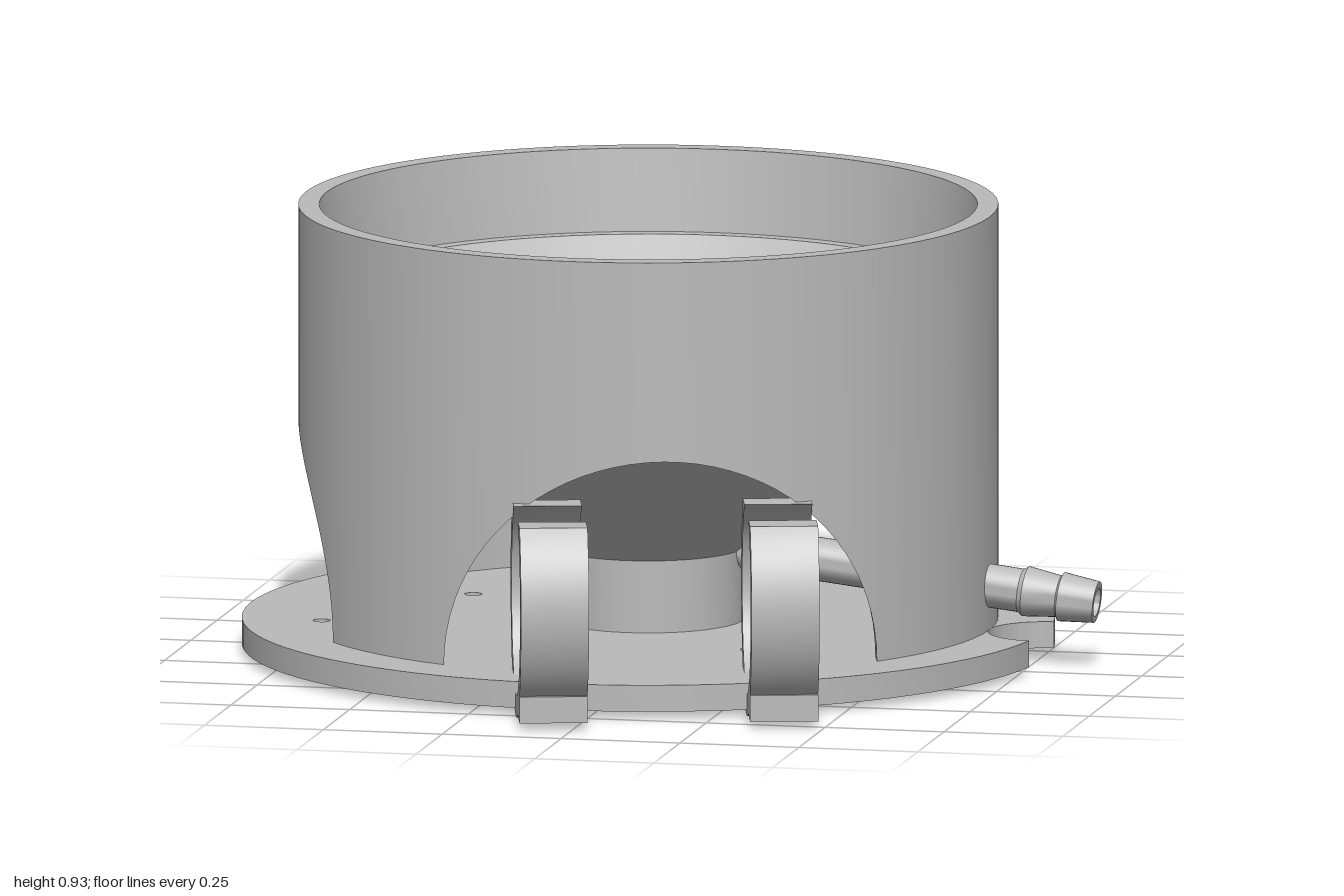
import * as THREE from 'three';
import { mergeGeometries, toCreasedNormals } from 'three/addons/utils/BufferGeometryUtils.js';

const grey = new THREE.MeshStandardMaterial({ color: 0xbababa });
grey.name = 'light grey';

const PLATE_BOTTOM = 0.015, PLATE_TOP = 0.07, TOP = 0.93;
const R_OUT = 0.719, R_IN = 0.66, R_ARCH = 0.445;
const rad = THREE.MathUtils.degToRad;

function part(name, geometry, parent) {
  const mesh = new THREE.Mesh(geometry, grey);
  mesh.name = name;
  parent.add(mesh);
  return mesh;
}

function lathe(points, segments) {
  const profile = points.map(([x, y]) => new THREE.Vector2(x, y));
  return toCreasedNormals(new THREE.LatheGeometry(profile, segments), 0.4);
}

// Smooth strip of quads between two equally long rows of points
function strip(rowA, rowB) {
  const positions = [], index = [], n = rowA.length;
  for (const p of [...rowA, ...rowB]) positions.push(...p);
  for (let i = 0; i < n - 1; i++) index.push(i, i + 1, n + i, i + 1, n + i + 1, n + i);
  const g = new THREE.BufferGeometry();
  g.setAttribute('position', new THREE.Float32BufferAttribute(positions, 3));
  g.setIndex(index);
  g.computeVertexNormals();
  return g;
}

// Cylinder wall with three round arches cut straight through it
function wallGeometry() {
  const arches = [rad(15), rad(165), rad(270)];
  const columns = [];
  const STEPS = 40, PILLAR = 16;
  const halfOut = Math.asin(R_ARCH / R_OUT), halfIn = Math.asin(R_ARCH / R_IN);
  arches.forEach((mid, k) => {
    for (let i = 0; i <= STEPS; i++) {
      const u = Math.PI * (1 - i / STEPS), side = R_ARCH * Math.cos(u);
      columns.push({
        out: mid + Math.asin(side / R_OUT),
        in: mid + Math.asin(side / R_IN),
        y: PLATE_TOP + R_ARCH * Math.sin(u)
      });
    }
    const next = k < 2 ? arches[k + 1] : arches[0] + 2 * Math.PI;
    for (let i = 1; i <= PILLAR; i++) {
      const t = i / PILLAR;
      columns.push({
        out: THREE.MathUtils.lerp(mid + halfOut, next - halfOut, t),
        in: THREE.MathUtils.lerp(mid + halfIn, next - halfIn, t),
        y: PLATE_TOP
      });
    }
  });
  const at = (a, r, y) => [r * Math.sin(a), y, r * Math.cos(a)];
  const outLow = columns.map(c => at(c.out, R_OUT, c.y));
  const outTop = columns.map(c => at(c.out, R_OUT, TOP));
  const rim = columns.map(c => at(c.out, 0.676, TOP));
  const inLow = columns.map(c => at(c.in, R_IN, c.y));
  const inTop = columns.map(c => at(c.in, R_IN, 0.66));
  return mergeGeometries([
    strip(outLow, outTop), strip(outTop, rim), strip(inTop, inLow), strip(inLow, outLow)
  ]);
}

// Round base plate with a notch for the outlet and small screw holes
function plateGeometry() {
  const R = 0.835, notch = 0.118;
  const a = 2 * Math.asin(notch / 2 / R), b = Math.PI / 2 + a / 2;
  const shape = new THREE.Shape();
  shape.absarc(0, 0, R, a, 2 * Math.PI - a, false);
  shape.absarc(R, 0, notch, -b, b, true);
  const holes = [[0.288, 0.344], [-0.07, 0.44], [-0.41, 0.19], [-0.41, -0.19], [-0.645, 0.19], [-0.645, -0.19]];
  for (const [x, z] of holes) {
    const hole = new THREE.Path();
    hole.absarc(x, -z, 0.018, 0, 2 * Math.PI, true);
    shape.holes.push(hole);
  }
  const g = new THREE.ExtrudeGeometry(shape, { depth: PLATE_TOP - PLATE_BOTTOM, bevelEnabled: false, curveSegments: 48 });
  g.rotateX(-Math.PI / 2).translate(0, PLATE_BOTTOM, 0);
  return toCreasedNormals(g, 0.5);
}

// Open ring clip: profile in the radial plane, extruded along the tangent
function clipGeometry({ r, y, outer, inner, outerArc, innerArc }, width) {
  const shape = new THREE.Shape();
  shape.absarc(r, y, outer, outerArc[0], outerArc[1], false);
  shape.absarc(r, y, inner, innerArc[1], innerArc[0], true);
  const g = new THREE.ExtrudeGeometry(shape, { depth: width, bevelEnabled: false, curveSegments: 36 });
  g.translate(0, 0, -width / 2).rotateY(-Math.PI / 2);
  return toCreasedNormals(g, 0.5);
}

function addClips(name, angle, clip, parent) {
  const pair = new THREE.Group();
  pair.name = name + 'Pair';
  pair.rotation.y = angle;
  parent.add(pair);
  const width = 0.14;
  for (const x of [-0.237, 0.237]) {
    part(name, clipGeometry(clip, width), pair).position.x = x;
    for (const [from, to, low, high] of clip.blocks) {
      const block = part(name + 'Foot', new THREE.BoxGeometry(width, high - low, to - from), pair);
      block.position.set(x, (low + high) / 2, (from + to) / 2);
    }
  }
}

export function createModel() {
  const model = new THREE.Group();
  model.name = 'funnelStand';
  const body = new THREE.Group();
  body.name = 'body';
  body.position.set(-0.057, 0, -0.087);
  model.add(body);

  part('basePlate', plateGeometry(), body);
  part('archedWall', wallGeometry(), body);

  // Funnel: tapered collar, ledge and cone down to the drain
  part('funnelInside', lathe([[0.676, TOP], [0.655, 0.76], [0.623, 0.76], [0.045, 0.25], [0.045, 0.2], [0, 0.2]], 96), body);
  part('funnelUnderside', lathe([[0.2, PLATE_TOP], [0.2, 0.22], [R_IN, 0.62]], 96), body);

  // Sloping drain pipe ending in a barbed hose outlet
  const outlet = part('hoseOutlet', lathe([
    [0.045, 0.1], [0.045, 0.79], [0.052, 0.8], [0.043, 0.87], [0.051, 0.875],
    [0.043, 0.95], [0.03, 0.95], [0.03, 0.6], [0, 0.6]
  ], 32), body);
  outlet.position.y = 0.245;
  outlet.rotation.z = -(Math.PI / 2 + 0.116);

  // Large front clips, open at the top with level ends
  const cutOut = Math.asin(0.175 / 0.245), cutIn = Math.asin(0.175 / 0.2);
  addClips('frontClip', rad(15), {
    r: 0.785, y: 0.245, outer: 0.245, inner: 0.2,
    outerArc: [Math.PI - cutOut, 2 * Math.PI + cutOut],
    innerArc: [Math.PI - cutIn, 2 * Math.PI + cutIn],
    blocks: [[0.885, 0.965, PLATE_BOTTOM, PLATE_TOP]]
  }, body);

  // Smaller back clips, open upwards and outwards
  addClips('backClip', rad(165), {
    r: 0.704, y: 0.23, outer: 0.16, inner: 0.122,
    outerArc: [rad(75), rad(360)],
    innerArc: [rad(80), rad(360)],
    blocks: [[0.62, 0.79, PLATE_TOP - 0.01, 0.1], [0.7, 0.825, PLATE_BOTTOM, PLATE_TOP + 0.002]]
  }, body);

  return model;
}
